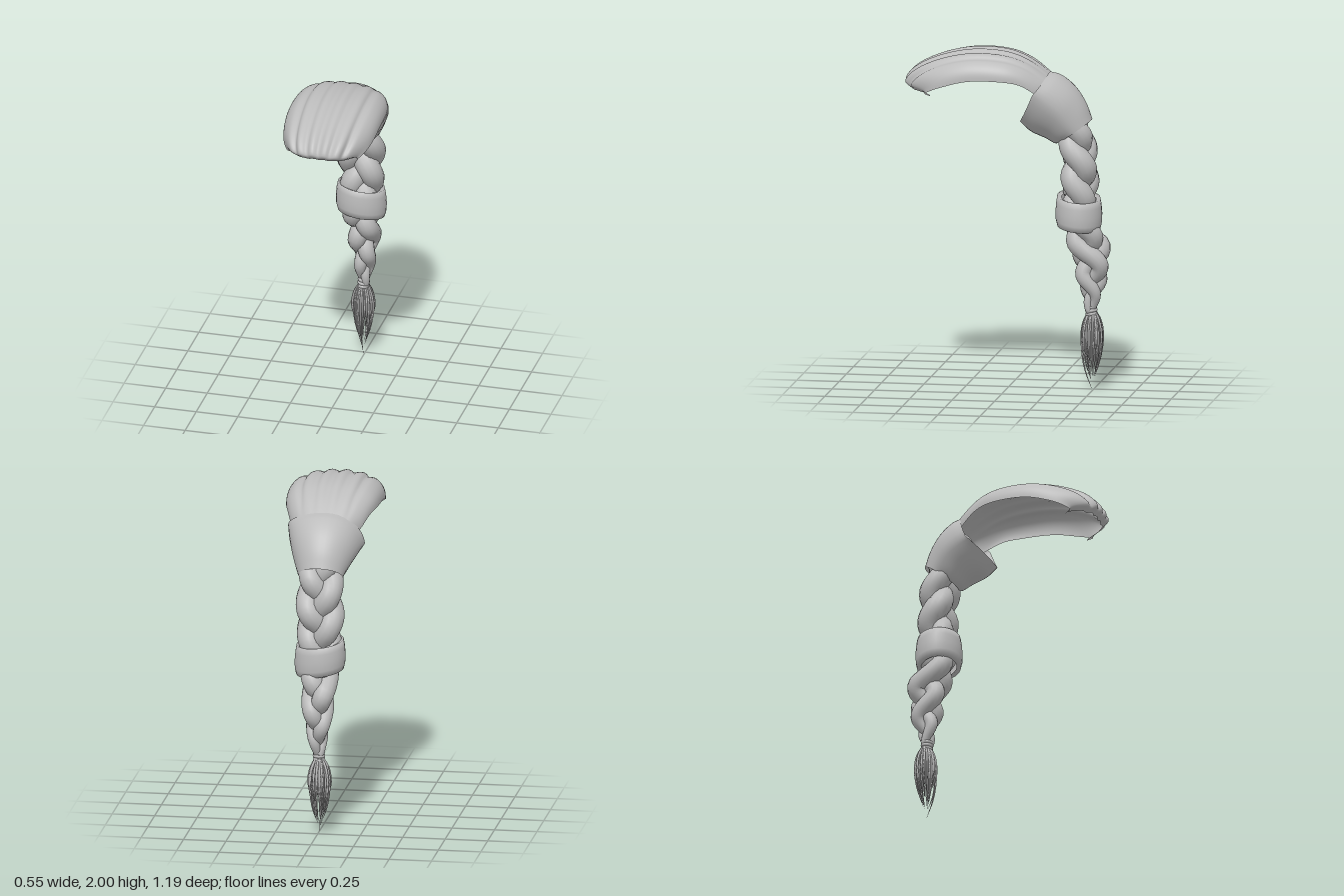
import * as THREE from 'three';

const hair = new THREE.MeshStandardMaterial({ color: 0xbcbcbc, side: THREE.DoubleSide });
hair.name = 'plain grey';
const V = (x, y, z) => new THREE.Vector3(x, y, z);
const lerp = THREE.MathUtils.lerp;

// piecewise linear lookup in [key, value] pairs sorted by falling key
function look(keys, k) {
  for (let i = 1; i < keys.length; i++) {
    const [a, va] = keys[i - 1], [b, vb] = keys[i];
    if (k >= b) return lerp(va, vb, Math.min(1, Math.max(0, (a - k) / (a - b))));
  }
  return keys[keys.length - 1][1];
}

// skin over cross-sections with equal point counts
function loft(rings, closed) {
  const n = rings[0].length, index = [];
  const cols = closed ? n : n - 1;
  for (let i = 0; i < rings.length - 1; i++) {
    for (let j = 0; j < cols; j++) {
      const a = i * n + j, b = i * n + (j + 1) % n;
      index.push(a, a + n, b, b, a + n, b + n);
    }
  }
  const g = new THREE.BufferGeometry().setFromPoints(rings.flat());
  g.setIndex(index);
  g.computeVertexNormals();
  return g;
}

// refine the cross-sections with a spline through every column
function smooth(rings, steps) {
  const cols = rings[0].map((_, j) => new THREE.CatmullRomCurve3(rings.map(r => r[j])).getPoints(steps));
  return Array.from({ length: steps + 1 }, (_, i) => cols.map(c => c[i]));
}

// round strand along points, radius given by fraction
function strand(pts, radius, sides) {
  const rings = pts.map((p, i) => {
    const t = pts[Math.min(i + 1, pts.length - 1)].clone().sub(pts[Math.max(i - 1, 0)]).normalize();
    const n = t.clone().cross(V(0, 0, 1)).normalize(), b = n.clone().cross(t);
    const r = radius(i / (pts.length - 1), p);
    return Array.from({ length: sides }, (_, j) => {
      const a = -j / sides * Math.PI * 2;
      return p.clone().addScaledVector(n, Math.cos(a) * r).addScaledVector(b, Math.sin(a) * r);
    });
  });
  return loft(rings, true);
}

export function createModel() {
  const model = new THREE.Group();
  const add = (name, geo, parent = model) => {
    const m = new THREE.Mesh(geo, hair);
    m.name = name;
    parent.add(m);
    return m;
  };

  // swept crest: centre z, centre y, edge z, edge y, half width, groove depth
  const crestRows = [
    [0.565, 1.77, 0.43, 1.735, 0.195, 0.008], [0.602, 1.81, 0.46, 1.75, 0.212, 0.014],
    [0.555, 1.878, 0.42, 1.775, 0.243, 0.016], [0.4, 1.957, 0.34, 1.805, 0.266, 0.017],
    [0.2, 2.0, 0.2, 1.84, 0.276, 0.016], [0, 1.988, 0, 1.84, 0.266, 0.013],
    [-0.12, 1.943, -0.1, 1.82, 0.24, 0.009], [-0.22, 1.872, -0.18, 1.77, 0.208, 0.003],
    [-0.3, 1.8, -0.24, 1.72, 0.17, 0],
  ];
  const grooveAngles = [-0.7, -0.32, 0.02, 0.36, 0.76];
  const crest = crestRows.map(([zc, yc, ze, ye, w, depth], row) => Array.from({ length: 73 }, (_, j) => {
    const a = (j / 72 - 0.5) * Math.PI, s = Math.sin(a), c = Math.max(0, Math.cos(a));
    const groove = depth * grooveAngles.reduce((sum, g) => sum + Math.exp(-(((a - g) / 0.1) ** 2)), 0);
    const z = lerp(zc, ze, s ** 4) - (row < 3 ? groove : 0);
    return V((w - groove) * s, lerp(ye, yc, c ** 0.75) - groove * c, z);
  }));
  add('crest', loft(smooth(crest, 36), false));

  // elbow shaped wrap: top y, top z, bottom y, bottom z, half width, tilt, side set-back
  const wrapRows = [
    [1.862, -0.24, 1.57, -0.07, 0.226, 0.2, 0.02], [1.848, -0.3, 1.515, -0.13, 0.21, 0.12, 0.02],
    [1.785, -0.385, 1.475, -0.22, 0.182, 0.05, 0.01], [1.69, -0.452, 1.445, -0.28, 0.152, 0, 0],
    [1.59, -0.49, 1.455, -0.3, 0.132, 0, 0],
  ];
  const wrap = wrapRows.map(([ty, tz, by, bz, w, tilt, back]) => Array.from({ length: 36 }, (_, j) => {
    const a = j / 36 * Math.PI * 2, c = Math.cos(a), k = (1 + c) / 2;
    const x = w * Math.sin(a) * (c < 0 ? 1 + 0.18 * c : 1);
    return V(x, lerp(by, ty, k) + x * tilt * (1 - Math.abs(c)), lerp(bz, tz, k) - back * Math.sin(a) ** 2);
  }));
  add('wrap', loft(smooth(wrap, 16), true));

  // three strand braid, keyed by height
  const centreZ = [[1.76, -0.25], [1.6, -0.36], [1.5, -0.4], [1.3, -0.422], [1.1, -0.415], [0.96, -0.424], [0.85, -0.474], [0.7, -0.492], [0.46, -0.485]];
  const swayX = [[1.76, 0.03], [1.6, 0.065], [1.3, 0.075], [1.0, 0.055], [0.85, 0.046], [0.65, 0.032], [0.52, 0.019], [0.44, 0.008]];
  const swayZ = [[1.76, 0.02], [1.5, 0.035], [1.1, 0.038], [0.96, 0.045], [0.85, 0.062], [0.68, 0.048], [0.52, 0.022], [0.44, 0.008]];
  const thick = [[1.76, 0.045], [1.6, 0.065], [1.3, 0.071], [1.0, 0.063], [0.85, 0.06], [0.65, 0.046], [0.52, 0.027], [0.44, 0.018]];
  const braid = new THREE.Group();
  braid.name = 'braid';
  model.add(braid);
  for (let k = 0; k < 3; k++) {
    const pts = [];
    for (let i = 0; i <= 90; i++) {
      const y = lerp(1.76, 0.44, i / 90);
      const a = (1.72 - y) / 0.58 * Math.PI * 2 + k * Math.PI * 2 / 3;
      pts.push(V(look(swayX, y) * Math.sin(a), y, look(centreZ, y) + look(swayZ, y) * Math.sin(2 * a)));
    }
    add('braidStrand', strand(pts, (t, p) => (t === 0 || t === 1 ? 0.001 : look(thick, p.y)), 14), braid);
  }

  // tilted band around the middle of the braid: height, outward scale
  const bandRows = [[0.08, 0.76], [0.09, 0.94], [0.05, 0.99], [0, 1.02], [-0.05, 1.01], [-0.085, 0.95], [-0.08, 0.76]];
  add('middleBand', loft(bandRows.map(([h, s]) => Array.from({ length: 28 }, (_, j) => {
    const a = j / 28 * Math.PI * 2;
    const x = 0.146 * s * Math.sin(a), z = 0.133 * s * Math.cos(a);
    return V(x, 1.045 + h - x * 0.13 + z * 0.1, z - 0.413);
  })), true));

  // tie above the tassel
  for (const [y, r] of [[0.485, 0.024], [0.465, 0.026], [0.445, 0.024]]) {
    const ring = add('tie', new THREE.TorusGeometry(r, 0.011, 8, 20));
    ring.rotation.x = Math.PI / 2 + 0.1;
    ring.position.set(-0.005, y, -0.485);
  }

  // tassel of thin tapering strands
  let seed = 7;
  const rand = () => (seed = (seed * 16807) % 2147483647) / 2147483647;
  const tassel = new THREE.Group();
  tassel.name = 'tassel';
  model.add(tassel);
  for (let i = 0; i < 52; i++) {
    const a = i * 2.4 + rand() * 0.4, spread = 0.04 + 0.027 * rand();
    const tip = i === 0 ? 0 : 0.05 + 0.2 * rand();
    const at = (r, y) => V(Math.sin(a) * r - 0.008, y, Math.cos(a) * r - 0.492);
    const path = new THREE.CatmullRomCurve3([
      at(0.018, 0.46), at(spread * 0.78, 0.4), at(spread, 0.31), at(spread * 0.75, lerp(tip, 0.28, 0.45)),
      at(0.005 + tip * 0.14, tip),
    ]);
    add('tasselStrand', strand(path.getPoints(14), t => 0.0005 + 0.007 * Math.sin(Math.PI * (0.25 + 0.75 * t)), 5), tassel);
  }
  return model;
}
